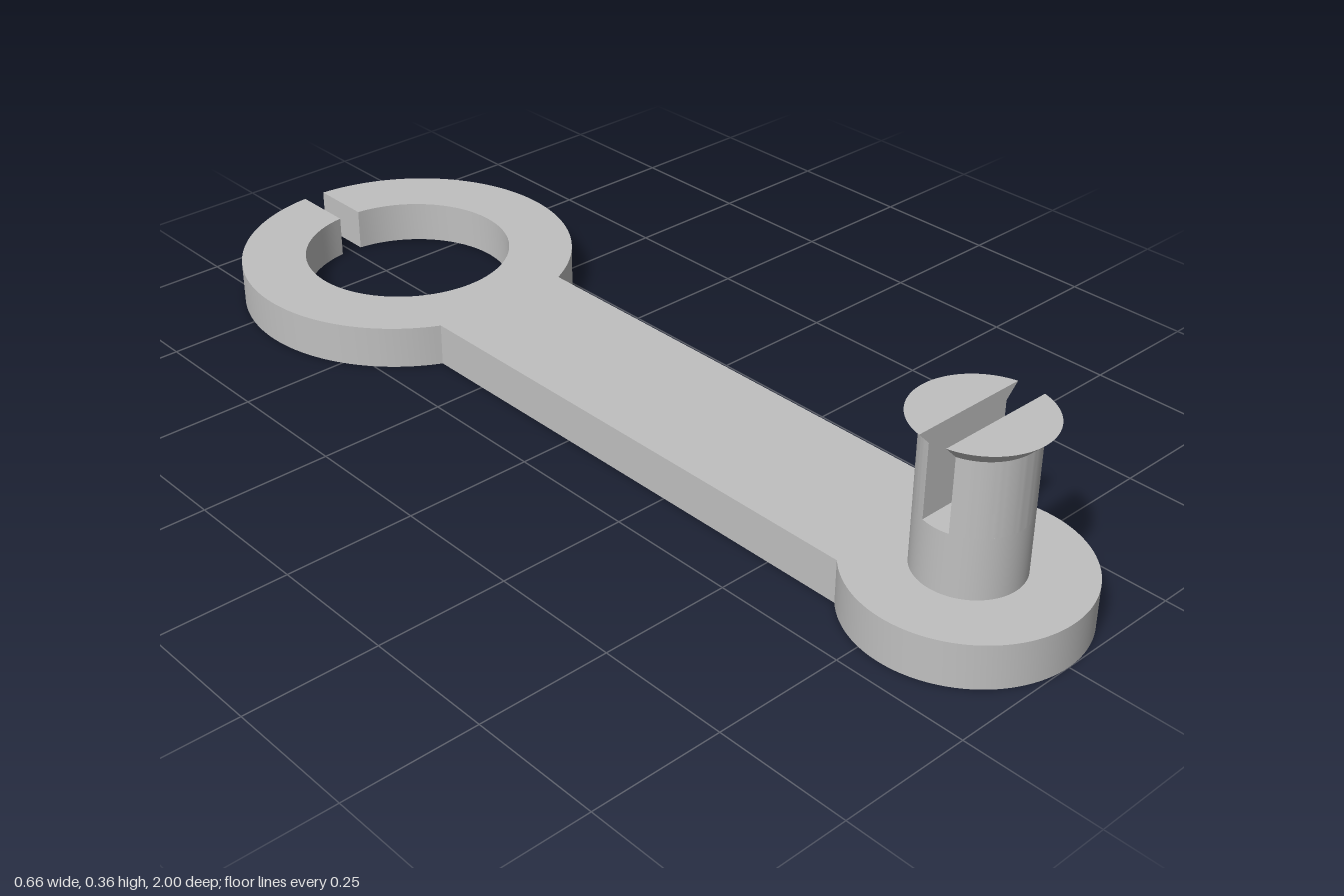
import * as THREE from 'three';
import { toCreasedNormals } from 'three/addons/utils/BufferGeometryUtils.js';

const THICK = 0.083, BAR = 0.146;        // arm thickness and half width
const RING_Z = -0.668, RING_R = 0.332, BORE_R = 0.205, GAP = 0.023;
const DISC_Z = 0.794, DISC_R = 0.206;
const POST_R = 0.095, SLOT = 0.026, SLOT_Y = 0.197;

// One flat outline: split ring, bar and round foot
function armGeometry() {
  const q = Math.PI / 2, s = new THREE.Shape();
  const gapOut = Math.asin(GAP / RING_R), gapIn = Math.asin(GAP / BORE_R);
  const barRing = Math.asin(BAR / RING_R), barDisc = Math.asin(BAR / DISC_R);
  s.absarc(0, -RING_Z, RING_R, q + gapOut, 3 * q - barRing, false);
  s.absarc(0, -DISC_Z, DISC_R, q + barDisc, 5 * q - barDisc, false);
  s.absarc(0, -RING_Z, RING_R, -q + barRing, q - gapOut, false);
  s.absarc(0, -RING_Z, BORE_R, q - gapIn, q + gapIn - 4 * q, true);
  s.closePath();
  const g = new THREE.ExtrudeGeometry(s, { depth: THICK, bevelEnabled: false, curveSegments: 40 });
  g.rotateX(-q);
  return toCreasedNormals(g, 0.5);
}

// Half of the split post: circle segments beyond the slot, lofted through [y, radius] levels
function prongGeometry(levels, n = 40) {
  const pos = [], idx = [], row = n + 1;
  for (const [y, r] of levels) {
    const a0 = Math.asin(SLOT / r);
    for (let i = 0; i <= n; i++) {
      const a = a0 + (Math.PI - 2 * a0) * i / n;
      pos.push(r * Math.cos(a), y, r * Math.sin(a));
    }
  }
  for (let l = 0; l < levels.length - 1; l++) {
    for (let i = 0; i <= n; i++) {
      const j = (i + 1) % row;
      const a = l * row + i, b = l * row + j, c = b + row, d = a + row;
      idx.push(a, d, c, a, c, b);
    }
  }
  const top = (levels.length - 1) * row;
  for (let i = 1; i < n; i++) idx.push(top, top + i + 1, top + i);
  const g = new THREE.BufferGeometry();
  g.setAttribute('position', new THREE.Float32BufferAttribute(pos, 3));
  g.setIndex(idx);
  return toCreasedNormals(g, 0.5);
}

export function createModel() {
  const model = new THREE.Group();
  model.name = 'linkArm';
  const grey = new THREE.MeshStandardMaterial({ color: 0xc0c0c0 });
  grey.name = 'lightGrey';

  const add = (parent, name, geometry) => {
    const mesh = new THREE.Mesh(geometry, grey);
    mesh.name = name;
    parent.add(mesh);
    return mesh;
  };

  add(model, 'arm', armGeometry());

  // Snap post with a slot and flared head
  const post = new THREE.Group();
  post.name = 'snapPost';
  post.position.z = DISC_Z;
  model.add(post);

  const base = new THREE.CylinderGeometry(POST_R, POST_R, SLOT_Y - THICK, 80);
  add(post, 'postBase', base).position.y = (SLOT_Y + THICK) / 2;

  const prong = prongGeometry([[SLOT_Y, POST_R], [0.335, POST_R], [0.36, 0.119]]);
  add(post, 'frontProng', prong);
  add(post, 'backProng', prong).rotation.y = Math.PI;

  return model;
}
